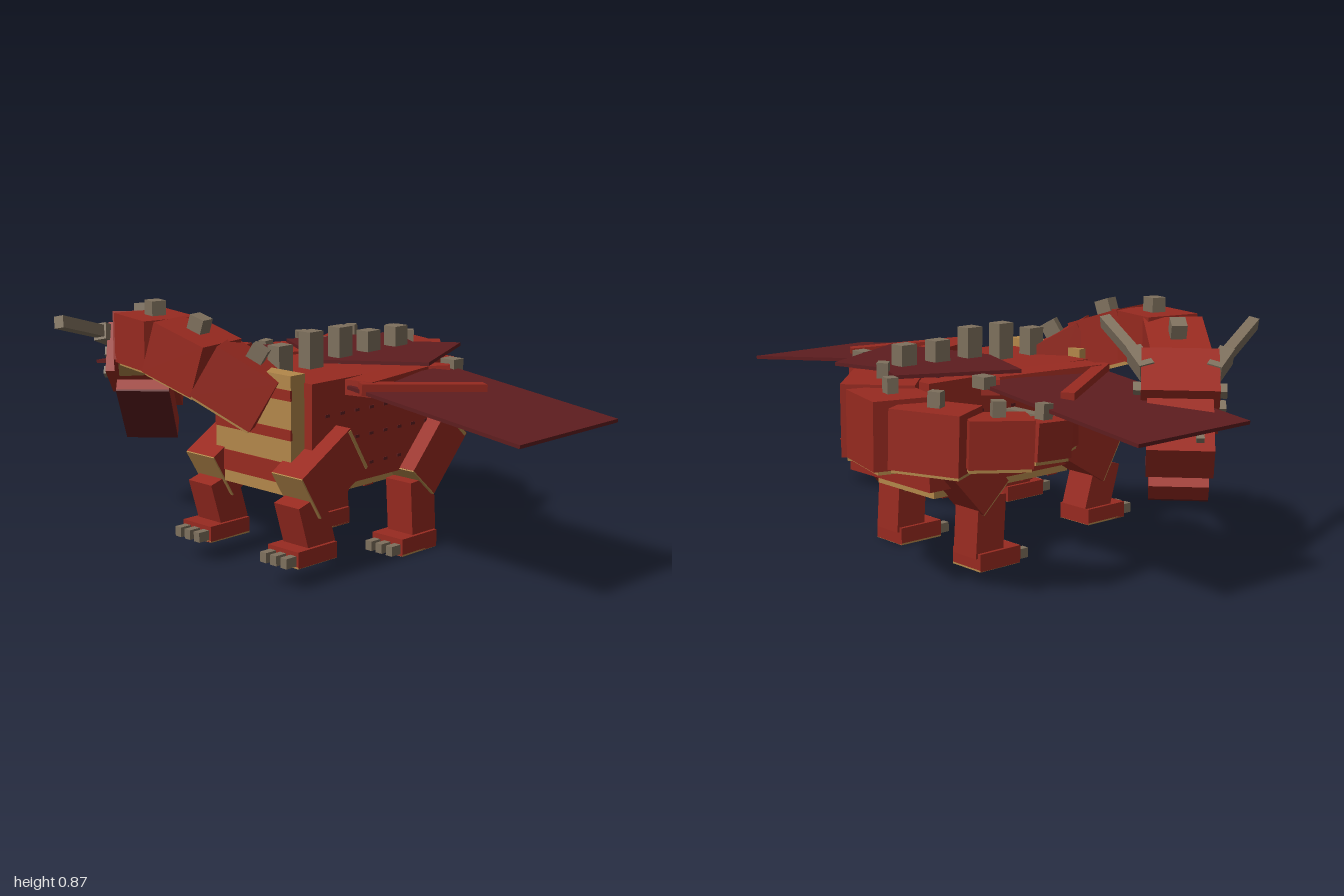
import * as THREE from 'three';

const mat = (name, color) => {
  const m = new THREE.MeshStandardMaterial({ color });
  m.name = name;
  return m;
};

export function createModel() {
  const red = mat('red hide', 0x982a20);
  const maroon = mat('dark membrane', 0x5e1d1f);
  const tan = mat('tan belly', 0xb3874a);
  const bone = mat('grey bone', 0x7e705d);
  const root = new THREE.Group();
  root.name = 'dragon';

  const V = (a) => new THREE.Vector3(...a);
  const up = new THREE.Vector3(0, 1, 0);

  function box(parent, name, m, size, pos) {
    const mesh = new THREE.Mesh(new THREE.BoxGeometry(...size), m);
    mesh.name = name;
    mesh.position.set(...pos);
    parent.add(mesh);
    return mesh;
  }
  // group whose local +z runs from a to b, origin at a
  function aim(parent, name, a, b) {
    const g = new THREE.Group();
    g.name = name;
    g.position.copy(V(a));
    g.quaternion.setFromRotationMatrix(new THREE.Matrix4().lookAt(V(b), V(a), up));
    g.userData.length = V(a).distanceTo(V(b));
    parent.add(g);
    return g;
  }
  function bar(parent, name, m, a, b, w, h) {
    const g = aim(parent, name, a, b);
    const l = g.userData.length;
    box(g, name, m, [w, h, l], [0, 0, l / 2]);
    return g;
  }
  // chain of blocks with belly plates and a spike on each
  function chain(name, pts, widths, heights, spike) {
    for (let i = 0; i < pts.length - 1; i++) {
      const g = aim(root, name + (i + 1), pts[i], pts[i + 1]);
      const l = g.userData.length, w = widths[i], h = heights[i];
      box(g, name, red, [w, h, l * 1.1], [0, 0, l / 2]);
      box(g, name + 'Belly', tan, [w * 0.85, 0.016, l * 1.05], [0, -h / 2 - 0.004, l / 2]);
      box(g, name + 'Spike', bone, [spike, 0.06, spike * 1.1], [0, h / 2 + 0.02, l / 2]);
    }
  }

  // body, chest and belly
  box(root, 'body', red, [0.43, 0.36, 0.71], [0, 0.465, -0.045]);
  box(root, 'chest', tan, [0.36, 0.4, 0.065], [0, 0.475, 0.338]);
  for (const y of [0.61, 0.48, 0.35])
    box(root, 'chestStripe', red, [0.362, y < 0.4 ? 0.07 : 0.035, 0.008], [0, y, 0.37]);
  box(root, 'belly', tan, [0.3, 0.045, 0.61], [0, 0.2625, -0.025]);
  for (let i = 0; i < 5; i++)
    box(root, 'bellyStripe', red, [0.3, 0.006, 0.045], [0, 0.239, 0.21 - i * 0.12]);
  for (const s of [-1, 1])
    for (const y of [0.53, 0.44, 0.34])
      for (let i = 0; i < 9; i++)
        box(root, 'scale', maroon, [0.004, 0.01, 0.02], [s * 0.216, y, 0.24 - i * 0.07]);
  [0.74, 0.77, 0.77, 0.74, 0.74].forEach((t, i) =>
    box(root, 'backSpike', bone, [0.055, t - 0.63, 0.064], [0, (t + 0.63) / 2, 0.242 - i * 0.143]));

  // neck and tail
  const neckEnd = [-0.65, 0.655, 0.3];
  chain('neck', [[0.03, 0.57, 0.33], [-0.12, 0.675, 0.43], [-0.3, 0.735, 0.465], [-0.5, 0.735, 0.42], neckEnd],
    [0.21, 0.21, 0.2, 0.2], [0.19, 0.18, 0.17, 0.17], 0.052);
  chain('tail', [[0.02, 0.535, -0.38], [-0.13, 0.53, -0.54], [-0.33, 0.53, -0.595], [-0.52, 0.525, -0.5],
    [-0.61, 0.52, -0.34], [-0.6, 0.51, -0.2], [-0.565, 0.51, -0.13]],
    [0.24, 0.21, 0.18, 0.14, 0.11, 0.08], [0.24, 0.22, 0.19, 0.15, 0.12, 0.08], 0.038);
  box(root, 'tailTip', bone, [0.27, 0.026, 0.04], [-0.415, 0.527, -0.11]);

  // head, with the jaw hanging open
  const head = aim(root, 'head', neckEnd, [-0.89, 0.43, 0.045]);
  box(head, 'skull', red, [0.25, 0.19, 0.2], [0, 0, 0.08]);
  box(head, 'snout', red, [0.21, 0.12, 0.25], [0, 0, 0.285]);
  const jaw = new THREE.Group();
  jaw.name = 'jaw';
  jaw.position.set(0, -0.1, 0.06);
  jaw.rotation.x = 0.18;
  head.add(jaw);
  box(jaw, 'lowerJaw', red, [0.19, 0.075, 0.33], [0, 0, 0.165]);
  box(jaw, 'throat', maroon, [0.19, 0.008, 0.33], [0, -0.04, 0.165]);
  for (const s of [-1, 1]) {
    const hornRoot = [s * 0.105, 0.07, 0.07], hornMid = [s * 0.15, 0.05, -0.04];
    bar(head, 'hornBase', bone, hornRoot, hornMid, 0.05, 0.06);
    bar(head, 'horn', bone, hornMid, [s * 0.25, -0.02, -0.28], 0.036, 0.042);
    for (const y of [-0.045, 0.03])
      box(head, 'cheekSpike', bone, [0.04, 0.03, 0.04], [s * 0.13, y, 0.11]);
    box(head, 'noseSpike', bone, [0.025, 0.03, 0.03], [s * 0.06, 0.065, 0.36]);
  }

  for (const s of [-1, 1]) {
    // wing
    const inner = box(root, 'innerMembrane', maroon, [0.38, 0.012, 0.42], [s * 0.08, 0.664, -0.225]);
    inner.rotation.set(0, s * 0.442, s * 0.035, 'YXZ');
    const outer = box(root, 'outerMembrane', maroon, [0.7, 0.012, 0.5], [s * 0.652, 0.597, -0.01]);
    outer.rotation.z = -s * 0.115;
    bar(root, 'wingUpperArm', red, [s * 0.24, 0.625, -0.18], [s * 0.335, 0.635, 0.22], 0.1, 0.05);
    bar(root, 'wingForearm', red, [s * 0.36, 0.64, 0.24], [s * 0.57, 0.615, -0.13], 0.045, 0.04);
    bar(root, 'wingRoot', red, [s * 0.19, 0.62, -0.12], [s * 0.33, 0.63, -0.24], 0.06, 0.05);
    box(root, 'wingClaw', bone, [0.06, 0.04, 0.05], [s * 0.32, 0.65, -0.26]);

    // legs: thigh ends and widths run in the y-z plane
    const legs = [
      { n: 'front', a: [0.155, 0.42], b: [0.375, 0.29], t: 0.17, k: [0.365, 0.28], e: [0.315, 0.11], foot: [0.35, 0.07], fh: 0.055 },
      { n: 'hind', a: [-0.342, 0.43], b: [-0.17, 0.243], t: 0.148, k: [-0.175, 0.25], e: [-0.188, 0.04], foot: [-0.15, 0], fh: 0.06 },
    ];
    for (const { n, a, b, t, k, e, foot, fh } of legs) {
      const x = s * 0.21;
      const thigh = bar(root, n + 'Thigh', red, [x, a[1], a[0]], [x, b[1], b[0]], 0.14, t);
      box(thigh, n + 'ThighCap', tan, [0.138, t - 0.002, 0.009], [0, 0, thigh.userData.length]);
      // thin trim along the top edge of the thigh's sides
      for (const d of [-0.07, 0.07])
        box(thigh, n + 'ThighTrim', tan, [0.005, t - 0.01, 0.012], [d, 0, 0.009]);
      bar(root, n + 'Shin', red, [x, k[1], k[0]], [x, e[1], e[0]], 0.115, 0.12);
      box(root, n + 'Foot', red, [0.14, fh, 0.178], [x, foot[1] + fh / 2, foot[0]]);
      box(root, n + 'Sole', tan, [0.14, 0.006, 0.178], [x, foot[1] + 0.002, foot[0]]);
      for (const d of [-0.047, 0, 0.047])
        box(root, n + 'Claw', bone, [0.028, 0.034, 0.05], [x + d, foot[1] + 0.024, foot[0] + 0.108]);
    }
  }
  return root;
}
